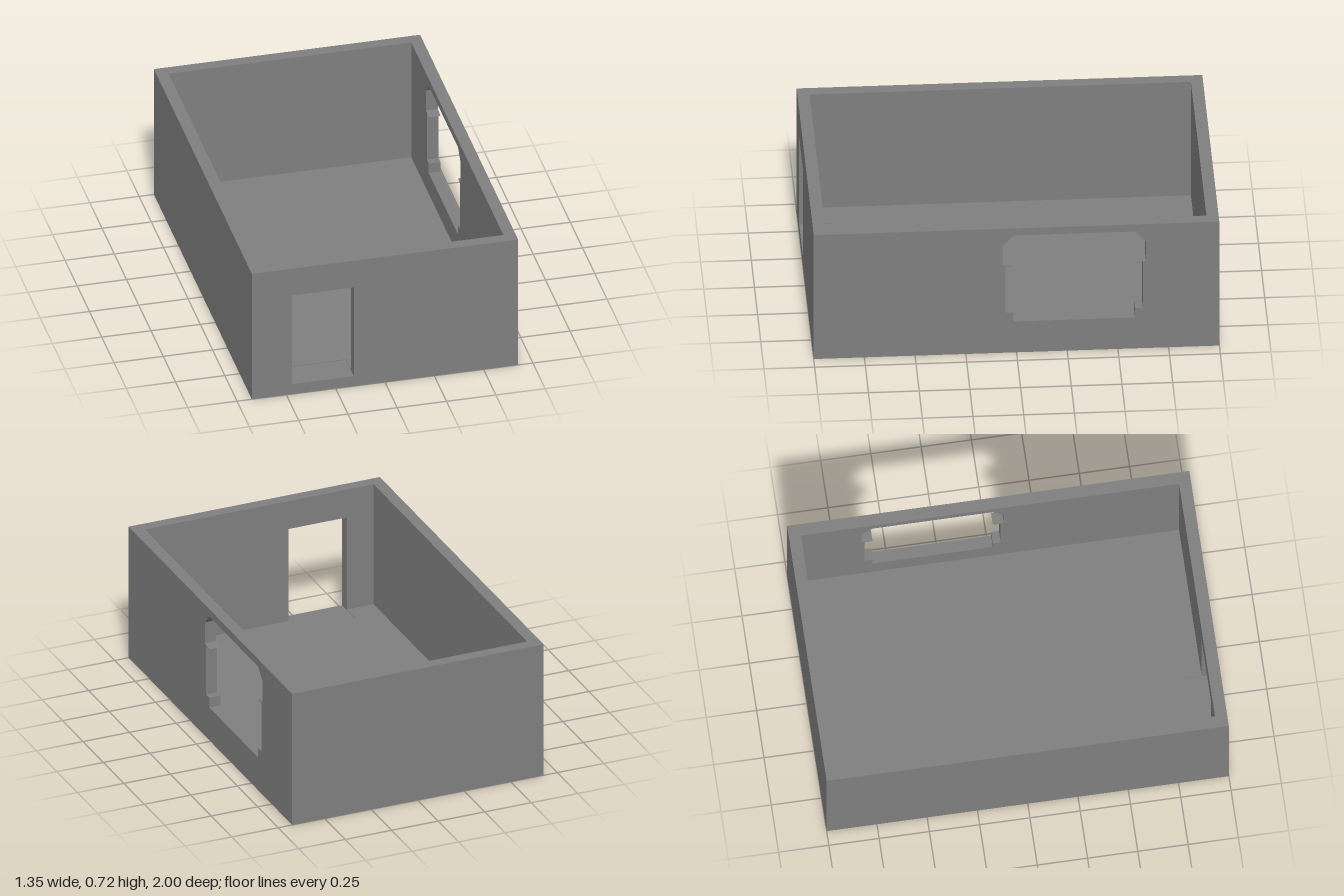
import * as THREE from 'three';

const W = 1.35, H = 0.722, D = 2, T = 0.06; // outer size and wall thickness
const FLOOR = 0.061, SILL = 0.057;          // floor height and recessed sill height

const polygon = (pts) => pts.map(([x, y]) => new THREE.Vector2(x, y));
const rect = (x0, y0, x1, y1) => [[x0, y0], [x1, y0], [x1, y1], [x0, y1]];

// Flat plate in the xy plane, thickened along +z, with optional cut-outs
function plate(outline, depth, ...holes) {
  const shape = new THREE.Shape(polygon(outline));
  for (const h of holes) shape.holes.push(new THREE.Path(polygon(h)));
  return new THREE.ExtrudeGeometry(shape, { depth, bevelEnabled: false });
}

export function createModel() {
  const group = new THREE.Group();
  const material = new THREE.MeshStandardMaterial({ color: 0x7f7f7f, flatShading: true });
  const add = (name, geometry) => {
    const mesh = new THREE.Mesh(geometry, material);
    mesh.name = name;
    group.add(mesh);
  };
  const innerX = W / 2 - T, innerZ = D / 2 - T;

  // Front wall with a tall rectangular opening
  const x0 = -0.472, x1 = -0.158;
  add('frontWall', plate(rect(-W / 2, 0, W / 2, H), T, rect(x0, SILL, x1, 0.568))
    .translate(0, 0, innerZ));

  // Back wall
  add('backWall', new THREE.BoxGeometry(W, H, T).translate(0, H / 2, -D / 2 + T / 2));

  // Left side wall (+x) with a socket cut-out: half profile mirrored about its centre
  const centre = 0.285;
  const half = [[0.299, 0.18], [0.299, 0.234], [0.338, 0.234], [0.338, 0.499],
    [0.299, 0.501], [0.353, 0.509], [0.353, 0.624], [0.299, 0.681]];
  const socket = [
    ...half.map(([u, y]) => [centre + u, y]),
    ...half.map(([u, y]) => [centre - u, y]).reverse(),
  ];
  add('socketWall', plate(rect(-innerZ, 0, innerZ, H), T, socket)
    .rotateY(Math.PI / 2).translate(innerX, 0, 0));

  // Plain side wall (-x)
  add('plainWall', new THREE.BoxGeometry(T, H, 2 * innerZ).translate(-W / 2 + T / 2, H / 2, 0));

  // Floor slab, topped by a thin layer notched behind the front opening
  add('floorSlab', new THREE.BoxGeometry(2 * innerX, SILL, 2 * innerZ).translate(0, SILL / 2, 0));
  const notch = innerZ - 0.1;
  const top = [[-innerX, innerZ], [-innerX, -innerZ], [innerX, -innerZ], [innerX, innerZ],
    [x1, innerZ], [x1, notch], [x0, notch], [x0, innerZ]];
  add('floorTop', plate(top.map(([x, z]) => [x, -z]), FLOOR - SILL)
    .rotateX(-Math.PI / 2).translate(0, SILL, 0));

  return group;
}
